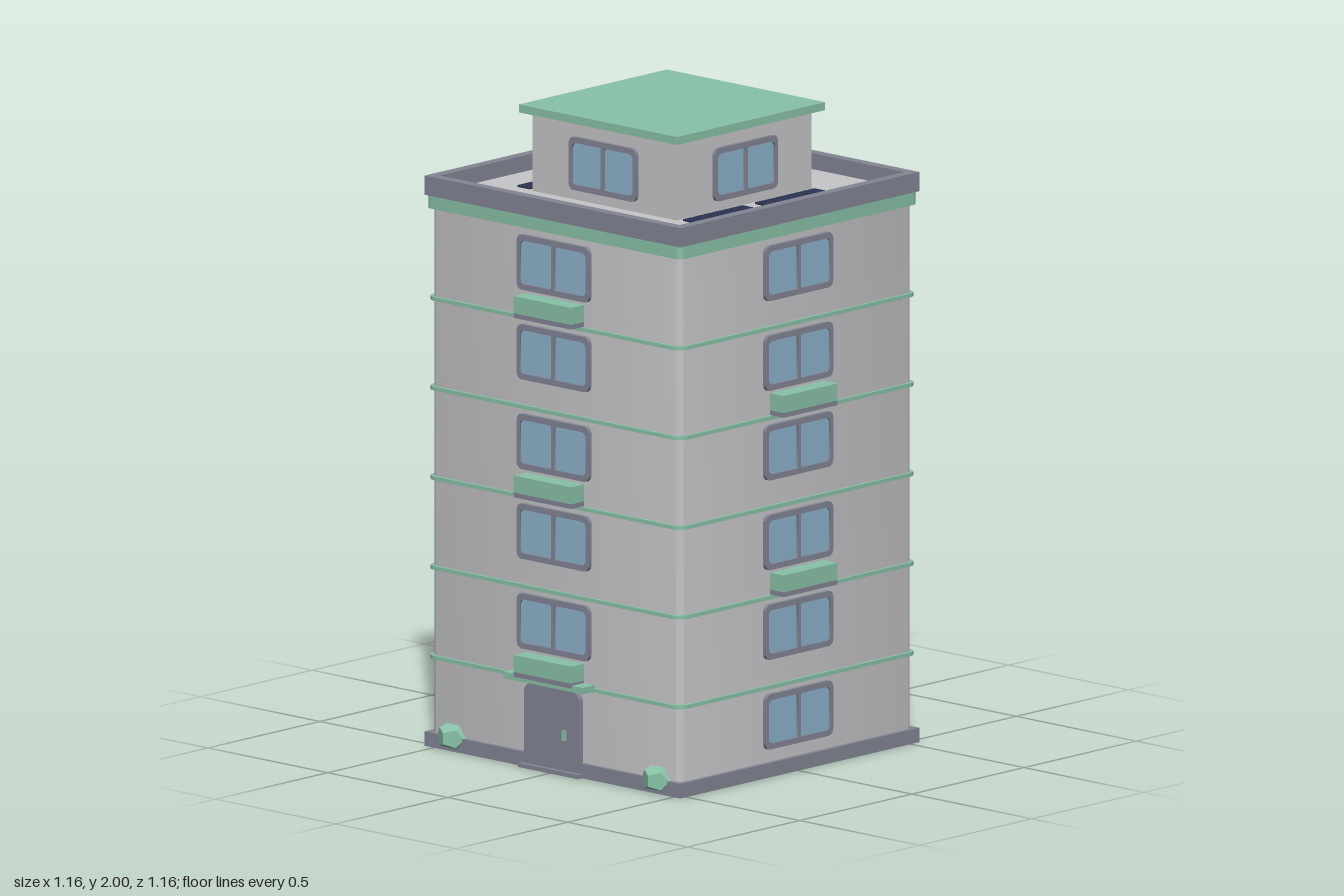
import * as THREE from 'three';
import { toCreasedNormals } from 'three/addons/utils/BufferGeometryUtils.js';

const paint = (name, color) => {
  const m = new THREE.MeshStandardMaterial({ color });
  m.name = name;
  return m;
};

// Rectangle outline with separate radii for its lower-left, lower-right, upper-right, upper-left corners
function outline(x0, y0, x1, y1, [a, b, c, d], Type = THREE.Shape) {
  const s = new Type();
  s.moveTo(x0 + a, y0).lineTo(x1 - b, y0);
  if (b) s.absarc(x1 - b, y0 + b, b, -Math.PI / 2, 0, false);
  s.lineTo(x1, y1 - c);
  if (c) s.absarc(x1 - c, y1 - c, c, 0, Math.PI / 2, false);
  s.lineTo(x0 + d, y1);
  if (d) s.absarc(x0 + d, y1 - d, d, Math.PI / 2, Math.PI, false);
  s.lineTo(x0, y0 + a);
  if (a) s.absarc(x0 + a, y0 + a, a, Math.PI, Math.PI * 1.5, false);
  return s;
}

const extrude = (shape, depth) => toCreasedNormals(
  new THREE.ExtrudeGeometry(shape, { depth, bevelEnabled: false, curveSegments: 5 }), 0.6);

// Square slab between two heights, optionally rounded and hollow
function slab(half, y0, y1, r = 0, hole = 0, holeR = 0) {
  const s = outline(-half, -half, half, half, [r, r, r, r]);
  if (hole) s.holes.push(outline(-hole, -hole, hole, hole, [holeR, holeR, holeR, holeR], THREE.Path));
  return extrude(s, y1 - y0).rotateX(-Math.PI / 2).translate(0, y0, 0);
}

// Box given by its limits
const box = (x0, x1, y0, y1, z0, z1) => new THREE.BoxGeometry(x1 - x0, y1 - y0, z1 - z0)
  .translate((x0 + x1) / 2, (y0 + y1) / 2, (z0 + z1) / 2);

export function createModel() {
  const wall = paint('wall', 0xc6c5c8);
  const trim = paint('slateTrim', 0x838595);
  const green = paint('green', 0x89c2a8);
  const glass = paint('glass', 0x8db2cc);
  const dark = paint('darkPanel', 0x2b3350);

  const model = new THREE.Group();
  model.name = 'apartmentBlock';
  const add = (parent, name, geometry, material) => {
    const mesh = new THREE.Mesh(geometry, material);
    mesh.name = name;
    parent.add(mesh);
    return mesh;
  };

  const FLOOR = 0.28, HALF = 0.52;

  // Tower, plinth, floor bands, cornice and roof
  add(model, 'tower', slab(HALF, 0, 1.69, 0.03), wall);
  add(model, 'plinth', slab(0.533, 0, 0.045, 0, 0.515, 0.03), trim);
  for (let i = 1; i <= 5; i++) {
    add(model, 'floorBand', slab(0.53, i * FLOOR - 0.006, i * FLOOR + 0.006, 0.035, 0.51, 0.03), green);
  }
  add(model, 'cornice', slab(0.53, 1.68, 1.72, 0.02), green);
  add(model, 'parapet', slab(0.533, 1.72, 1.78, 0, 0.5), trim);
  add(model, 'roofFloor', box(-0.5, 0.5, 1.72, 1.73, -0.5, 0.5), wall);
  add(model, 'penthouse', box(-0.3, 0.3, 1.72, 1.98, -0.3, 0.3), wall);
  add(model, 'penthouseRoof', box(-0.33, 0.33, 1.975, 2, -0.33, 0.33), green);
  for (const s of [-1, 1]) for (const z of [-0.16, 0.16]) {
    add(model, 'roofPanel', new THREE.BoxGeometry(0.05, 0.006, 0.265).translate(s * 0.345, 1.733, z), dark);
  }

  // Window centred on x = 0 with a pierced frame and two panes
  const windowParts = (w, h) => {
    const frame = outline(-w, -h, w, h, [0.02, 0.02, 0.02, 0.02]);
    const px = w - 0.013, ph = h - 0.018, r = 0.018;
    const panes = [
      [-px, -0.007, [r, 0.005, 0.005, r]],
      [0.007, px, [0.005, r, r, 0.005]],
    ];
    for (const [a, b, radii] of panes) frame.holes.push(outline(a, -ph, b, ph, radii, THREE.Path));
    return {
      frame: extrude(frame, 0.015),
      pane: box(-px - 0.004, px + 0.004, -ph - 0.004, ph + 0.004, 0, 0.009),
    };
  };
  const towerWindow = windowParts(0.15, 0.086);
  const topWindow = windowParts(0.14, 0.083);
  const addWindow = (parent, parts, y, z) => {
    const g = new THREE.Group();
    g.name = 'window';
    g.position.set(0, y, z);
    add(g, 'windowFrame', parts.frame, trim);
    add(g, 'windowPanes', parts.pane, glass);
    parent.add(g);
  };

  // Four facades: front, left, back, right
  const planterBody = box(-0.12, 0.12, 0.022, 0.075, 0.51, 0.578);
  const planterBase = box(-0.12, 0.12, 0.007, 0.022, 0.51, 0.578);
  ['front', 'left', 'back', 'right'].forEach((name, side) => {
    const facade = new THREE.Group();
    facade.name = name + 'Facade';
    facade.rotation.y = side * Math.PI / 2;
    for (let i = side === 0 ? 1 : 0; i < 6; i++) {
      addWindow(facade, towerWindow, i * FLOOR + 0.172, 0.517);
    }
    addWindow(facade, topWindow, 1.845, 0.296);
    for (const i of side % 2 ? [2, 4] : [1, 3, 5]) {
      add(facade, 'planter', planterBody, green).position.y = i * FLOOR;
      add(facade, 'planterBase', planterBase, trim).position.y = i * FLOOR;
    }
    model.add(facade);
  });

  // Entrance
  const door = extrude(outline(-0.115, 0, 0.115, 0.265, [0, 0, 0.03, 0.03]), 0.025);
  add(model, 'door', door.translate(0, 0, 0.512), trim);
  add(model, 'doorHandle', box(0.05, 0.063, 0.108, 0.14, 0.535, 0.545), green);
  add(model, 'doorStep', box(-0.125, 0.125, 0, 0.013, 0.51, 0.552), trim);
  add(model, 'canopy', box(-0.165, 0.165, 0.275, 0.295, 0.51, 0.575), green);

  // Faceted shrubs
  for (const s of [-1, 1]) {
    const shrub = add(model, 'shrub', new THREE.DodecahedronGeometry(0.06), green);
    shrub.scale.set(1, 0.8, 1);
    shrub.position.set(s * 0.427, 0.043, 0.508);
  }
  return model;
}
